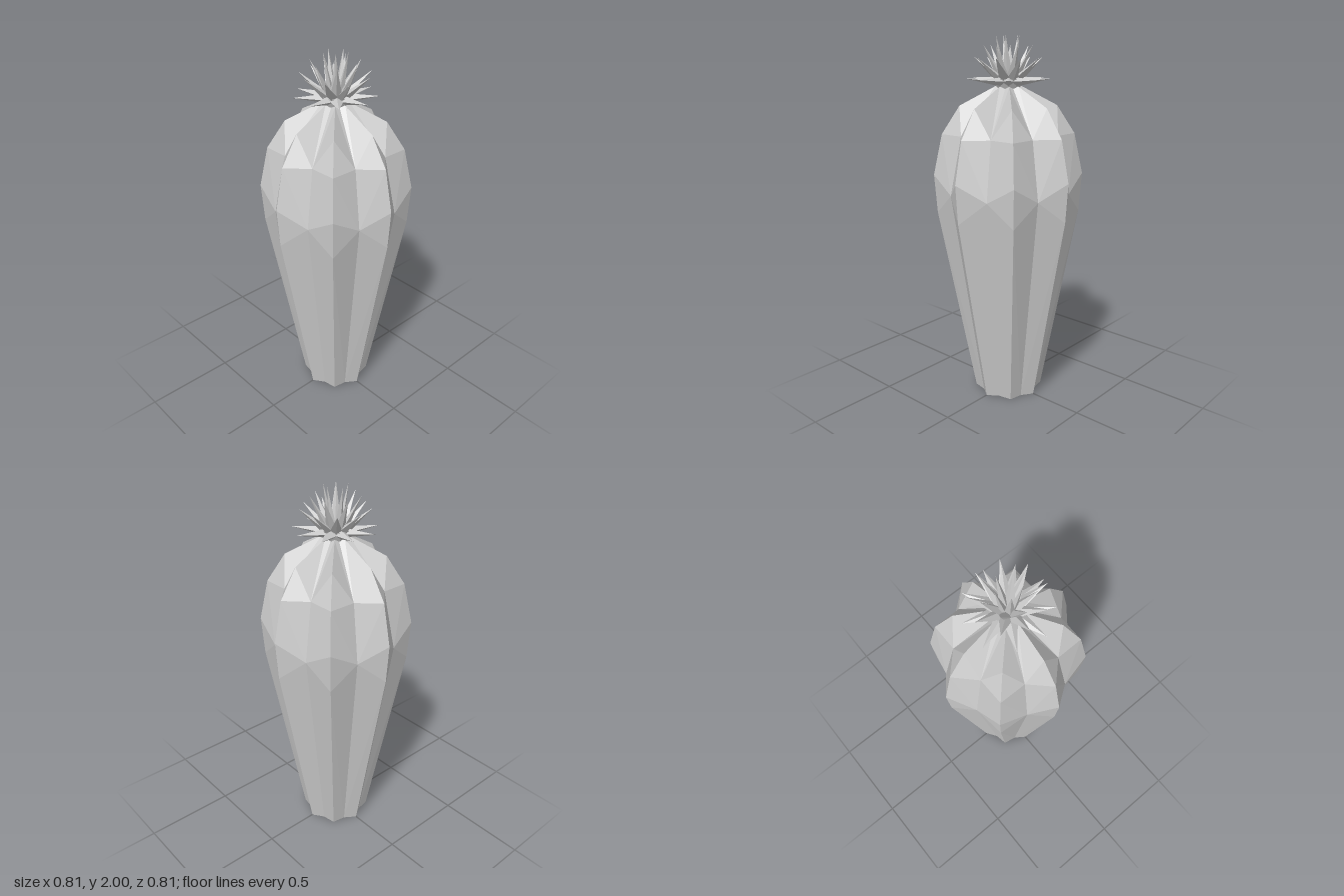
import * as THREE from 'three';

const material = new THREE.MeshStandardMaterial({ color: 0xcccccc, flatShading: true, side: THREE.DoubleSide });
const RIBS = 8;

// Profiles as [radius, height], running from the foot to the crown
const RIDGE = [[0.19, 0], [0.39, 1.06], [0.405, 1.27], [0.357, 1.49], [0.26, 1.64], [0.07, 1.74]];
const VALLEY = [[0.16, 0], [0.339, 1.18], [0.339, 1.18], [0.275, 1.49], [0.275, 1.49], [0.055, 1.73]];

const polar = (r, y, a) => new THREE.Vector3(r * Math.sin(a), y, r * Math.cos(a));

// Star-section stem, open underneath; ridge and valley points are staggered in height
function createStem() {
  const positions = [];
  const tri = (...corners) => corners.forEach(p => positions.push(p.x, p.y, p.z));
  for (let i = 0; i < RIBS; i++) {
    const a = i / RIBS * Math.PI * 2;
    for (const side of [-1, 1]) {
      const b = a + side * Math.PI / RIBS;
      const face = (p, q, r) => side > 0 ? tri(p, q, r) : tri(p, r, q);
      for (let k = 0; k < RIDGE.length - 1; k++) {
        const r0 = polar(...RIDGE[k], a), r1 = polar(...RIDGE[k + 1], a);
        const v0 = polar(...VALLEY[k], b), v1 = polar(...VALLEY[k + 1], b);
        face(r0, v0, r1);
        if (v0.distanceTo(v1) > 0.001) face(v0, v1, r1);
      }
      face(polar(...RIDGE.at(-1), a), polar(...VALLEY.at(-1), b), new THREE.Vector3(0, 1.74, 0));
    }
  }
  const geometry = new THREE.BufferGeometry();
  geometry.setAttribute('position', new THREE.Float32BufferAttribute(positions, 3));
  geometry.computeVertexNormals();
  const stem = new THREE.Mesh(geometry, material);
  stem.name = 'ribbedStem';
  return stem;
}

// Pointed four-sided petal stretching from base to tip
function createPetal(base, tip, width) {
  const length = base.distanceTo(tip);
  const geometry = new THREE.ConeGeometry(width, length, 4, 1, true);
  geometry.translate(0, length / 2, 0);
  geometry.scale(1, 1, 0.65);
  const petal = new THREE.Mesh(geometry, material);
  petal.name = 'petal';
  // Local y runs along the petal, local x runs across it
  const along = tip.clone().sub(base).normalize();
  const across = new THREE.Vector3(tip.z, 0, -tip.x).normalize();
  const out = across.clone().cross(along);
  petal.quaternion.setFromRotationMatrix(new THREE.Matrix4().makeBasis(across, along, out));
  petal.position.copy(base);
  return petal;
}

// Spiky flower: tiers of petals rising from flat to upright
function createFlower() {
  const flower = new THREE.Group();
  flower.name = 'flower';
  const core = new THREE.Mesh(new THREE.CylinderGeometry(0.085, 0.06, 0.05, 9), material);
  core.name = 'flowerCore';
  core.position.y = 1.755;
  flower.add(core);

  const tiers = [
    { name: 'outerPetals', count: 9, start: 0.02, baseR: 0.055, baseY: 1.765, tipR: 0.22, tipY: 1.78, width: 0.036 },
    { name: 'middlePetals', count: 9, start: 0.37, baseR: 0.045, baseY: 1.77, tipR: 0.185, tipY: 1.89, width: 0.034 },
    { name: 'upperPetals', count: 7, start: 0.2, baseR: 0.035, baseY: 1.77, tipR: 0.13, tipY: 1.95, width: 0.034 },
    { name: 'innerPetals', count: 5, start: 0.5, baseR: 0.022, baseY: 1.77, tipR: 0.065, tipY: 2.0, width: 0.03 },
  ];
  for (const t of tiers) {
    const tier = new THREE.Group();
    tier.name = t.name;
    for (let i = 0; i < t.count; i++) {
      const a = t.start + i / t.count * Math.PI * 2;
      tier.add(createPetal(polar(t.baseR, t.baseY, a), polar(t.tipR, t.tipY, a), t.width));
    }
    flower.add(tier);
  }
  return flower;
}

export function createModel() {
  const cactus = new THREE.Group();
  cactus.name = 'cactus';
  cactus.add(createStem(), createFlower());
  return cactus;
}
